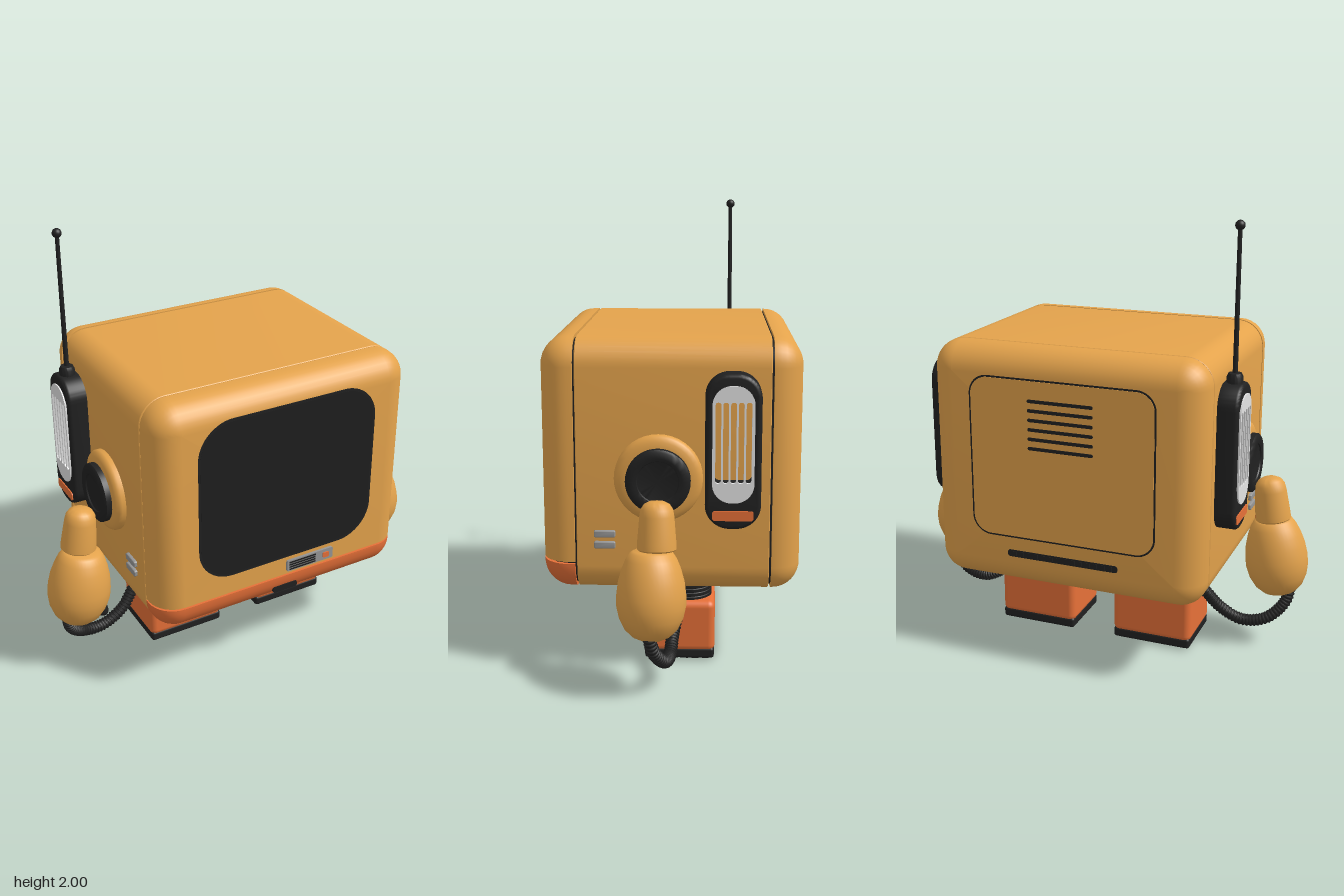
import * as THREE from 'three';
import { toCreasedNormals } from 'three/addons/utils/BufferGeometryUtils.js';
import { RoundedBoxGeometry } from 'three/addons/geometries/RoundedBoxGeometry.js';

const mat = (name, color) => {
  const m = new THREE.MeshStandardMaterial({ color });
  m.name = name;
  return m;
};

// Rounded rectangle centred on (cx, cy)
function roundRect(w, h, r, cx = 0, cy = 0, Type = THREE.Shape) {
  const s = new Type(), x = w / 2, y = h / 2, q = Math.PI / 2;
  s.absarc(cx + x - r, cy - y + r, r, -q, 0);
  s.absarc(cx + x - r, cy + y - r, r, 0, q);
  s.absarc(cx - x + r, cy + y - r, r, q, 2 * q);
  s.absarc(cx - x + r, cy - y + r, r, 2 * q, 3 * q);
  s.closePath();
  return s;
}

// Plate with softened edges, standing on z = 0
function plate(shape, depth, bevel = 0) {
  const g = new THREE.ExtrudeGeometry(shape, {
    depth: depth - bevel, curveSegments: 10, bevelEnabled: bevel > 0,
    bevelSize: bevel, bevelThickness: bevel, bevelOffset: -bevel, bevelSegments: 3,
  });
  return toCreasedNormals(g, 0.7);
}

// Body shell: rounded-rectangle rings [z, inset] from back to front, kept within yMin..yMax
function shell(rings, yMin = -9, yMax = 9) {
  const hw = 0.63, hh = 0.545, cy = 0.915, r = 0.12, n = 8, pos = [], idx = [];
  const count = 4 * (n + 1), clampY = (y) => Math.min(yMax, Math.max(yMin, y));
  for (const [z, inset] of rings) {
    const rr = Math.max(r - inset, 0.002);
    for (let c = 0; c < 4; c++) for (let k = 0; k <= n; k++) {
      const a = (c - 1 + k / n) * Math.PI / 2;
      const sx = c < 2 ? 1 : -1, sy = c === 1 || c === 2 ? 1 : -1;
      pos.push(sx * (hw - inset - rr) + rr * Math.cos(a), clampY(cy + sy * (hh - inset - rr) + rr * Math.sin(a)), z);
    }
  }
  const last = (rings.length - 1) * count, c0 = pos.length / 3;
  pos.push(0, clampY(cy), rings[0][0], 0, clampY(cy), rings[rings.length - 1][0]);
  for (let j = 0; j < count; j++) {
    const k = (j + 1) % count;
    for (let i = 0; i < last; i += count) idx.push(i + j, i + k, i + count + k, i + j, i + count + k, i + count + j);
    idx.push(c0, k, j, c0 + 1, last + j, last + k);
  }
  const g = new THREE.BufferGeometry();
  g.setAttribute('position', new THREE.Float32BufferAttribute(pos, 3));
  g.setIndex(idx);
  return toCreasedNormals(g, 0.6);
}

export function createModel() {
  const model = new THREE.Group();
  const ochre = mat('ochre paint', 0xe4a34c), orange = mat('orange paint', 0xe67038);
  const dark = mat('black rubber', 0x212121), glass = mat('screen glass', 0x1e1e1e);
  const silver = mat('pale silver', 0xe4e4e4), grey = mat('grey metal', 0x969696);

  const add = (name, geo, material, x = 0, y = 0, z = 0, parent = model) => {
    const m = new THREE.Mesh(geo, material);
    m.name = name;
    m.position.set(x, y, z);
    parent.add(m);
    return m;
  };
  // Profiles run from bottom to top so the outside faces out
  const lathe = (pts) => toCreasedNormals(new THREE.LatheGeometry(pts.map(p => new THREE.Vector2(...p)), 40), 0.6);

  // Body shells with dark seams between them
  const R = 0.118, front = [[0.402, 0]], back = [[-0.426, 0]];
  for (let i = 0; i <= 8; i++) {
    const a = i / 8 * Math.PI / 2, inset = R * (1 - Math.cos(a));
    front.push([0.427 + R * Math.sin(a), inset]);
    back.unshift([-0.432 - R * Math.sin(a), inset]);
  }
  add('bodyMiddle', shell([[-0.417, 0.003], [-0.414, 0], [0.391, 0], [0.394, 0.003]]), ochre);
  add('bodyBack', shell(back), ochre);
  add('frontShell', shell(front, 0.507), ochre);
  add('frontBumper', shell(front, -9, 0.498), orange);
  add('seamCore', shell([[-0.46, 0.014], [0.425, 0.014], [0.48, 0.03], [0.525, 0.08]]), dark);

  // Screen, label and bumper slot
  add('screenRim', plate(roundRect(0.882, 0.768, 0.165), 0.006), dark, 0, 0.982, 0.54);
  add('screen', plate(roundRect(0.86, 0.746, 0.155), 0.007), glass, 0, 0.982, 0.54);
  add('frontLabel', plate(roundRect(0.245, 0.056, 0.008), 0.012), grey, 0.122, 0.552, 0.544);
  for (let i = 0; i < 4; i++)
    add('labelLine', new THREE.BoxGeometry(0.14, 0.007, 0.004), dark, 0.08, 0.534 + i * 0.012, 0.556);
  add('labelButton', plate(roundRect(0.034, 0.026, 0.008), 0.006), orange, 0.205, 0.552, 0.555);
  add('bumperSlot', plate(roundRect(0.125, 0.03, 0.01), 0.02), dark, 0, 0.433, 0.522);
  add('bottomStud', new THREE.CylinderGeometry(0.03, 0.03, 0.03, 20), dark, 0, 0.37, 0.1);

  // Back hatch with vents and a lower grille
  const hatch = new THREE.Group();
  hatch.name = 'backHatch';
  hatch.rotation.y = Math.PI;
  hatch.position.z = -0.547;
  model.add(hatch);
  add('hatchGroove', plate(roundRect(0.856, 0.731, 0.088), 0.004), dark, 0, 0.97, 0, hatch);
  add('hatchPanel', plate(roundRect(0.84, 0.715, 0.08), 0.006), ochre, 0, 0.97, 0, hatch);
  for (let i = 0; i < 6; i++)
    add('hatchVent', plate(roundRect(0.3, 0.015, 0.007), 0.004), dark, 0, 1.03 + i * 0.042, 0.004, hatch);
  add('lowerGrille', plate(roundRect(0.52, 0.032, 0.012), 0.006), dark, 0, 0.53, -0.001, hatch);
  for (let i = 0; i < 14; i++)
    add('grilleTooth', new THREE.BoxGeometry(0.016, 0.02, 0.004), dark, -0.227 + i * 0.035, 0.53, 0.006, hatch);

  // Shared side geometry
  const housing = roundRect(0.23, 0.645, 0.1);
  housing.holes.push(roundRect(0.155, 0.36, 0.02, 0, 0.045, THREE.Path));
  const housingGeo = plate(housing, 0.092, 0.016);
  const grille = roundRect(0.172, 0.485, 0.08);
  for (let i = -2; i <= 2; i++) grille.holes.push(roundRect(0.023, 0.335, 0.01, i * 0.031, 0.008, THREE.Path));
  const grilleGeo = plate(grille, 0.014);
  const shoulderGeo = lathe([[0.185, -0.01], [0.185, 0.02], [0.178, 0.033], [0.16, 0.043], [0.135, 0.047], [0, 0.047]]);
  const socketGeo = lathe([[0.135, 0.03], [0.135, 0.072], [0.125, 0.08], [0.1, 0.082], [0.088, 0.078], [0.085, 0.072], [0, 0.072]]);
  const armGeo = lathe([[0, -0.1], [0.075, -0.1], [0.081, -0.094], [0.08, -0.07], [0.071, 0.04],
    [0.066, 0.068], [0.053, 0.088], [0.032, 0.099], [0, 0.102]]);
  const handGeo = lathe([[0, -0.19], [0.04, -0.184], [0.08, -0.165], [0.11, -0.135], [0.132, -0.09], [0.143, -0.04],
    [0.143, 0.005], [0.136, 0.06], [0.122, 0.11], [0.106, 0.15], [0.088, 0.178], [0.075, 0.185], [0, 0.185]]);
  const ribGeo = new THREE.TorusGeometry(0.022, 0.007, 6, 14);

  for (const s of [1, -1]) {
    const side = new THREE.Group();
    side.name = s > 0 ? 'leftSide' : 'rightSide';
    model.add(side);
    const onSide = (name, geo, m, x, y, z) => { add(name, geo, m, s * x, y, z, side).rotation.y = s * Math.PI / 2; };

    // Ear pod
    onSide('podHousing', housingGeo, dark, 0.628, 1.008, -0.26);
    onSide('podGrille', grilleGeo, silver, 0.712, 1.042, -0.26);
    onSide('podBar', plate(roundRect(0.17, 0.042, 0.012), 0.014), orange, 0.711, 0.745, -0.26);
    for (const y of [0.588, 0.636]) onSide('sideTab', plate(roundRect(0.09, 0.03, 0.008), 0.02, 0.004), grey, 0.625, y, 0.275);

    // Shoulder, arm and hand
    add('shoulder', shoulderGeo, ochre, s * 0.628, 0.88, 0.048, side).rotation.z = -s * Math.PI / 2;
    add('shoulderSocket', socketGeo, dark, s * 0.628, 0.88, 0.048, side).rotation.z = -s * Math.PI / 2;
    add('upperArm', armGeo, ochre, s * 0.782, 0.72, 0.048, side).rotation.z = s * 0.13;
    add('hand', handGeo, ochre, s * 0.812, 0.432, 0.07, side).rotation.z = s * 0.13;
    add('thumb', new THREE.CapsuleGeometry(0.026, 0.022, 6, 16), dark, s * 0.735, 0.32, 0.14, side).rotation.z = -s * 0.2;

    // Ribbed hose from hand to ankle
    const path = new THREE.CatmullRomCurve3([[0.885, 0.3, 0.08], [0.865, 0.21, 0.06], [0.79, 0.135, 0.02], [0.68, 0.115, 0],
      [0.575, 0.165, -0.01], [0.5, 0.25, -0.03], [0.42, 0.325, -0.04]].map(([x, y, z]) => new THREE.Vector3(s * x, y, z)));
    add('hose', new THREE.TubeGeometry(path, 50, 0.024, 12), dark, 0, 0, 0, side);
    for (let i = 0; i <= 42; i++) {
      const p = path.getPointAt(i / 42);
      const rib = add('hoseRib', ribGeo, dark, p.x, p.y, p.z, side);
      rib.quaternion.setFromUnitVectors(new THREE.Vector3(0, 0, 1), path.getTangentAt(i / 42));
    }

    // Leg: ribbed ankle, foot, sole and treads
    const leg = new THREE.Group();
    leg.name = 'leg';
    leg.position.set(s * 0.29, 0, -0.035);
    model.add(leg);
    const slab = (w, d, r, h) => plate(roundRect(w, d, r), h, 0.004).rotateX(-Math.PI / 2);
    add('ankleCore', slab(0.312, 0.268, 0.095, 0.12), dark, 0, 0.26, 0, leg);
    for (let i = 0; i < 5; i++) add('ankleRib', slab(0.326, 0.282, 0.1, 0.014), dark, 0, 0.274 + i * 0.018, 0, leg);
    add('foot', new RoundedBoxGeometry(0.38, 0.235, 0.312, 4, 0.03), orange, 0, 0.157, 0, leg);
    add('sole', new RoundedBoxGeometry(0.374, 0.05, 0.306, 3, 0.014), dark, 0, 0.033, 0, leg);
    for (let i = 0; i < 6; i++)
      add('tread', new THREE.BoxGeometry(0.325, 0.016, 0.03), dark, 0, 0.008, -0.115 + i * 0.046, leg);
    add('footLabel', plate(roundRect(0.175, 0.065, 0.01), 0.016, 0.003), grey, 0, 0.178, 0.15, leg);
    add('footSlot', plate(roundRect(0.09, 0.022, 0.01), 0.005), dark, -0.025, 0.178, 0.164, leg);
  }

  // Antenna
  add('antennaBase', lathe([[0.035, 0], [0.035, 0.03], [0.028, 0.045], [0, 0.048]]), dark, -0.672, 1.325, -0.26);
  add('antennaRod', new THREE.CylinderGeometry(0.009, 0.011, 0.62, 16), dark, -0.672, 1.67, -0.26);
  add('antennaTip', new THREE.SphereGeometry(0.021, 20, 14), dark, -0.672, 1.979, -0.26);
  return model;
}
